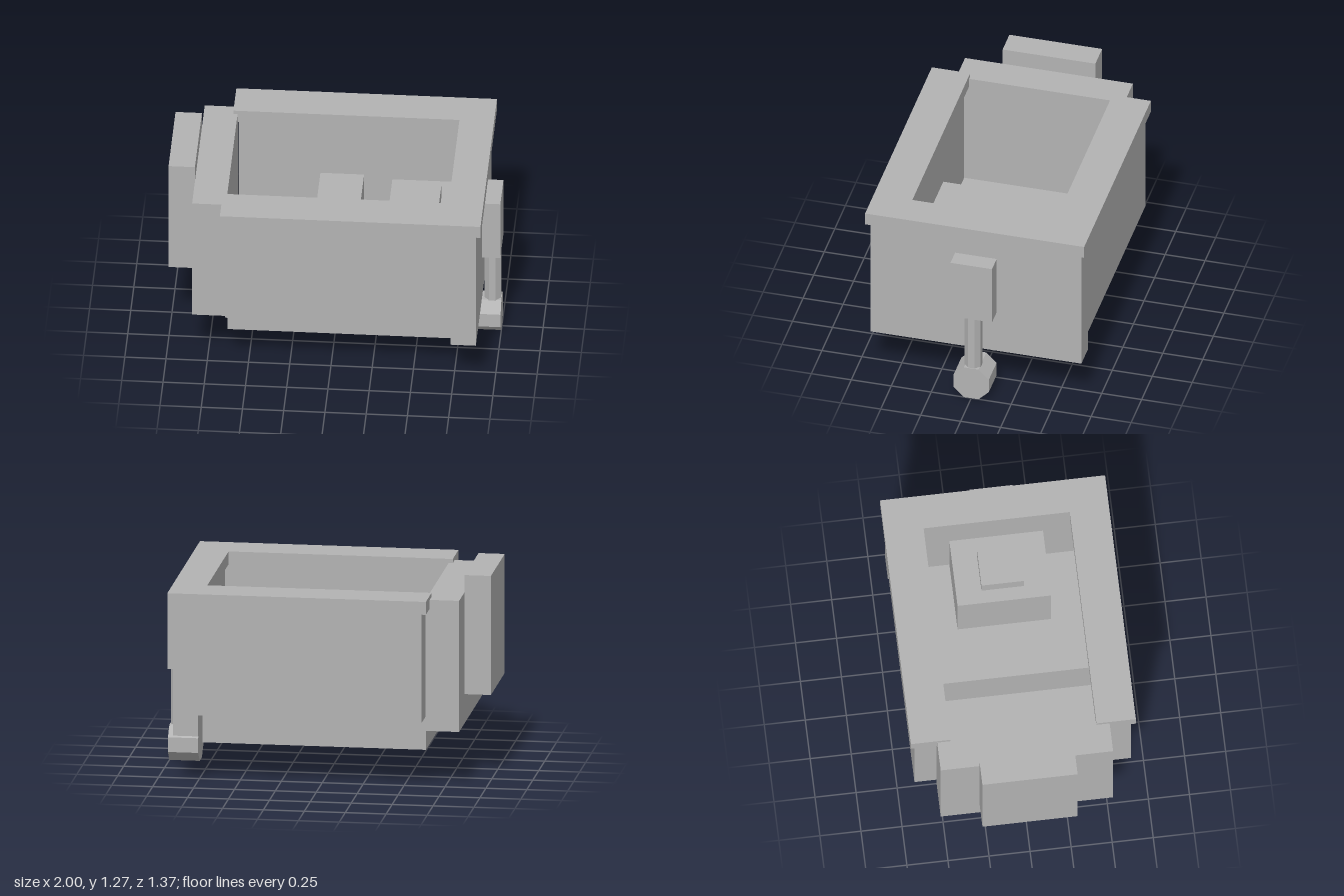
import * as THREE from 'three';

export function createModel() {
  const model = new THREE.Group();
  model.name = 'openTub';
  const grey = new THREE.MeshStandardMaterial({ color: 0xb3b3b3 });
  grey.name = 'plain grey';
  grey.flatShading = true;

  const add = (name, geometry, parent = model) => {
    const mesh = new THREE.Mesh(geometry, grey);
    mesh.name = name;
    parent.add(mesh);
    return mesh;
  };
  // Box given by its extents along each axis
  const box = (name, x0, x1, y0, y1, z0, z1) =>
    add(name, new THREE.BoxGeometry(x1 - x0, y1 - y0, z1 - z0)
      .translate((x0 + x1) / 2, (y0 + y1) / 2, (z0 + z1) / 2));
  // Eight-sided bar standing on a flat
  const octagon = (flatRadius, length) =>
    new THREE.CylinderGeometry(flatRadius / Math.cos(Math.PI / 8), flatRadius / Math.cos(Math.PI / 8),
      length, 8, 1, false, Math.PI / 8);

  // Hull: floor, two side walls and the deeper end wall
  box('floor', -0.63, 0.735, 0.22, 0.43, -0.475, 0.475);
  box('leftSideWall', -0.63, 0.735, 0.43, 1.11, 0.475, 0.66);
  box('rightSideWall', -0.63, 0.735, 0.43, 1.11, -0.66, -0.475);
  box('endWall', 0.735, 0.89, 0.3, 1.11, -0.66, 0.66);

  // U-shaped rim, open towards the end plates
  const rim = new THREE.Shape([
    [-0.66, -0.685], [0.92, -0.685], [0.92, 0.685], [-0.66, 0.685],
    [-0.66, 0.445], [0.71, 0.445], [0.71, -0.445], [-0.66, -0.445],
  ].map(([x, y]) => new THREE.Vector2(x, y)));
  add('rim', new THREE.ExtrudeGeometry(rim, { depth: 0.08, bevelEnabled: false })
    .rotateX(-Math.PI / 2).translate(0, 1.11, 0));

  // Stepped plates closing the other end
  box('innerEndPlate', -0.84, -0.635, 0.35, 1.165, -0.525, 0.525);
  box('outerEndPlate', -1, -0.84, 0.53, 1.27, -0.29, 0.29);

  // Fittings inside
  box('bench', -0.135, 0.13, 0.43, 0.74, -0.475, 0.475);
  box('locker', 0.315, 0.735, 0.43, 0.845, -0.285, 0.285);
  box('lockerTop', 0.395, 0.625, 0.845, 0.935, -0.13, 0.13);

  // Motor on the end wall, with its shaft and drum
  box('motorHousing', 0.89, 1, 0.585, 0.98, -0.13, 0.13);
  add('shaft', octagon(0.05, 0.39).translate(0.945, 0.395, 0));
  add('drum', octagon(0.11, 0.185).rotateZ(Math.PI / 2).translate(0.9075, 0.11, 0));

  return model;
}
